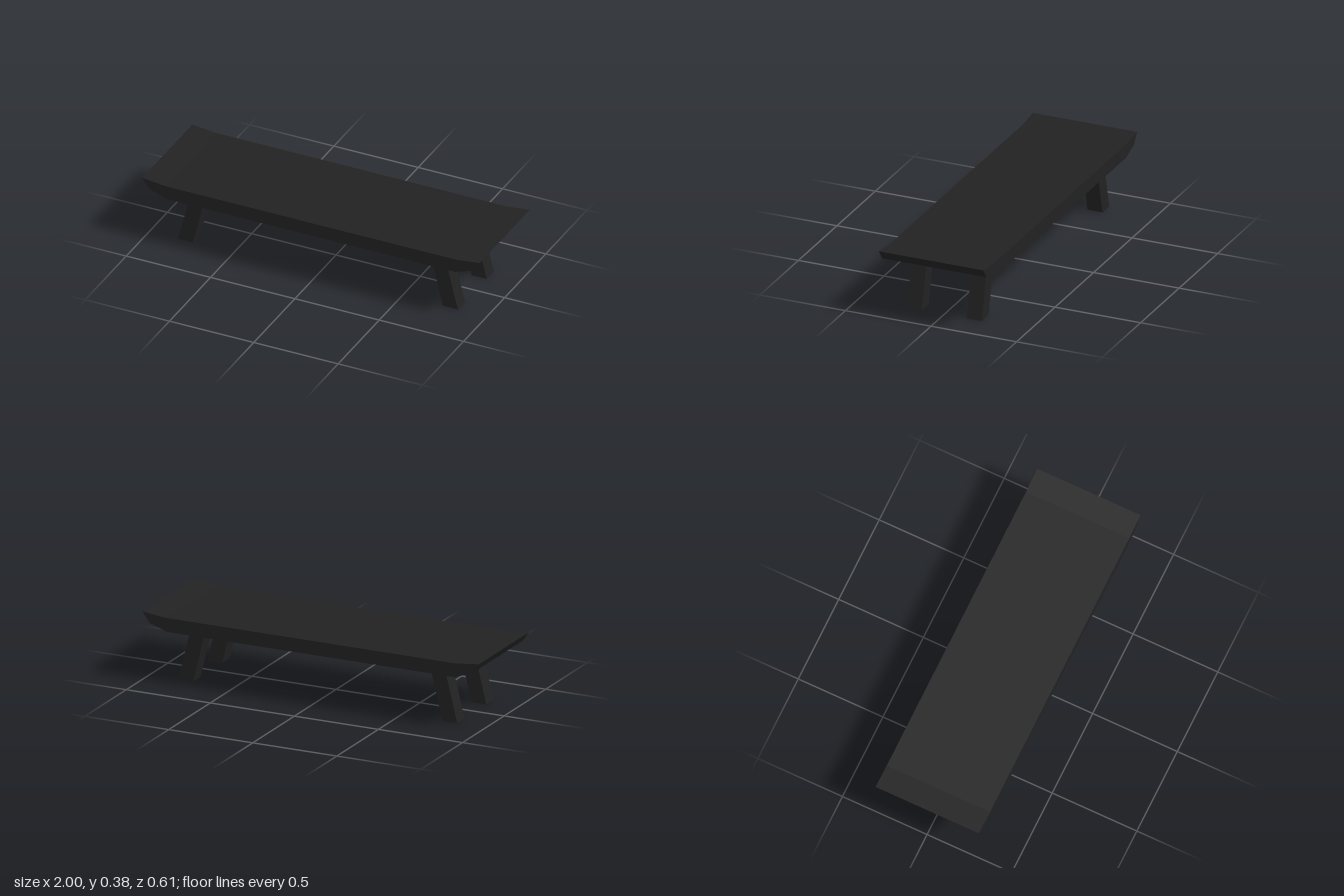
import * as THREE from 'three';

// Extrude a front-view outline along z, centred on z
function slab(points, depth, z, material, name) {
  const shape = new THREE.Shape(points.map(([x, y]) => new THREE.Vector2(x, y)));
  const geometry = new THREE.ExtrudeGeometry(shape, { depth, bevelEnabled: false });
  geometry.translate(0, 0, z - depth / 2);
  const mesh = new THREE.Mesh(geometry, material);
  mesh.name = name;
  return mesh;
}

export function createModel() {
  const group = new THREE.Group();
  group.name = 'bench';
  const black = new THREE.MeshStandardMaterial({ color: 0x222222 });
  black.name = 'black lacquer';

  // Seat board with upswept ends
  const half = [[0.855, 0.288], [0.957, 0.323], [1, 0.381], [0.86, 0.366]];
  const outline = [...half, ...half.map(([x, y]) => [-x, y]).reverse()];
  group.add(slab(outline, 0.61, 0, black, 'seat'));

  // Four legs splayed outward, cut flat at the floor
  for (const side of [1, -1]) {
    for (const end of [1, -1]) {
      const leg = [[0.741, 0], [0.829, 0], [0.757, 0.29], [0.67, 0.29]].map(([x, y]) => [x * side, y]);
      const name = `${end > 0 ? 'front' : 'back'}${side > 0 ? 'Left' : 'Right'}Leg`;
      group.add(slab(leg, 0.088, 0.175 * end, black, name));
    }
  }
  return group;
}
